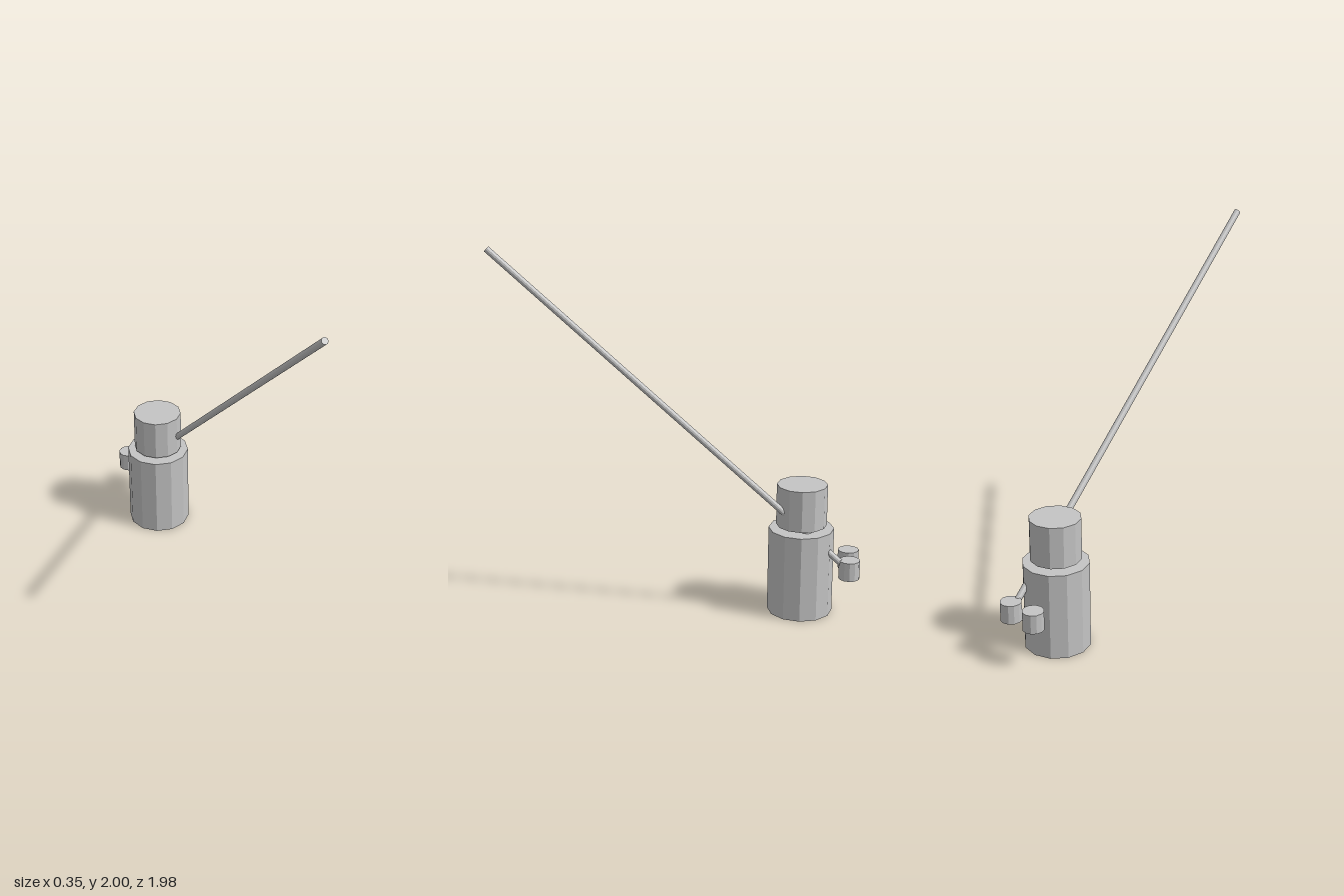
import * as THREE from 'three';

export function createModel() {
  const group = new THREE.Group();
  const grey = new THREE.MeshStandardMaterial({ color: 0xc4c4c4, flatShading: true });
  grey.name = 'light grey';

  // Upright twelve-sided cylinder standing between two heights
  function drum(name, radius, bottom, top, x, z) {
    const mesh = new THREE.Mesh(new THREE.CylinderGeometry(radius, radius, top - bottom, 12), grey);
    mesh.name = name;
    mesh.position.set(x, (bottom + top) / 2, z);
    group.add(mesh);
  }

  // Main column and the smaller drum floating just above it
  drum('body', 0.177, 0, 0.477, 0, -0.675);
  drum('head', 0.137, 0.497, 0.725, 0, -0.675);

  // Pair of small drums behind the column
  for (const side of [-1, 1]) {
    drum(side > 0 ? 'leftRearDrum' : 'rightRearDrum', 0.057, 0.222, 0.326, side * 0.077, -0.937);
  }

  // Long sloping pole from the left rear drum up to the front
  const start = new THREE.Vector3(0.077, 0.266, -0.937);
  const end = new THREE.Vector3(0.077, 1.987, 0.978);
  const direction = end.clone().sub(start);
  const pole = new THREE.Mesh(new THREE.CylinderGeometry(0.018, 0.018, direction.length(), 12), grey);
  pole.name = 'pole';
  pole.position.copy(start).add(end).multiplyScalar(0.5);
  pole.quaternion.setFromUnitVectors(new THREE.Vector3(0, 1, 0), direction.normalize());
  group.add(pole);

  return group;
}
